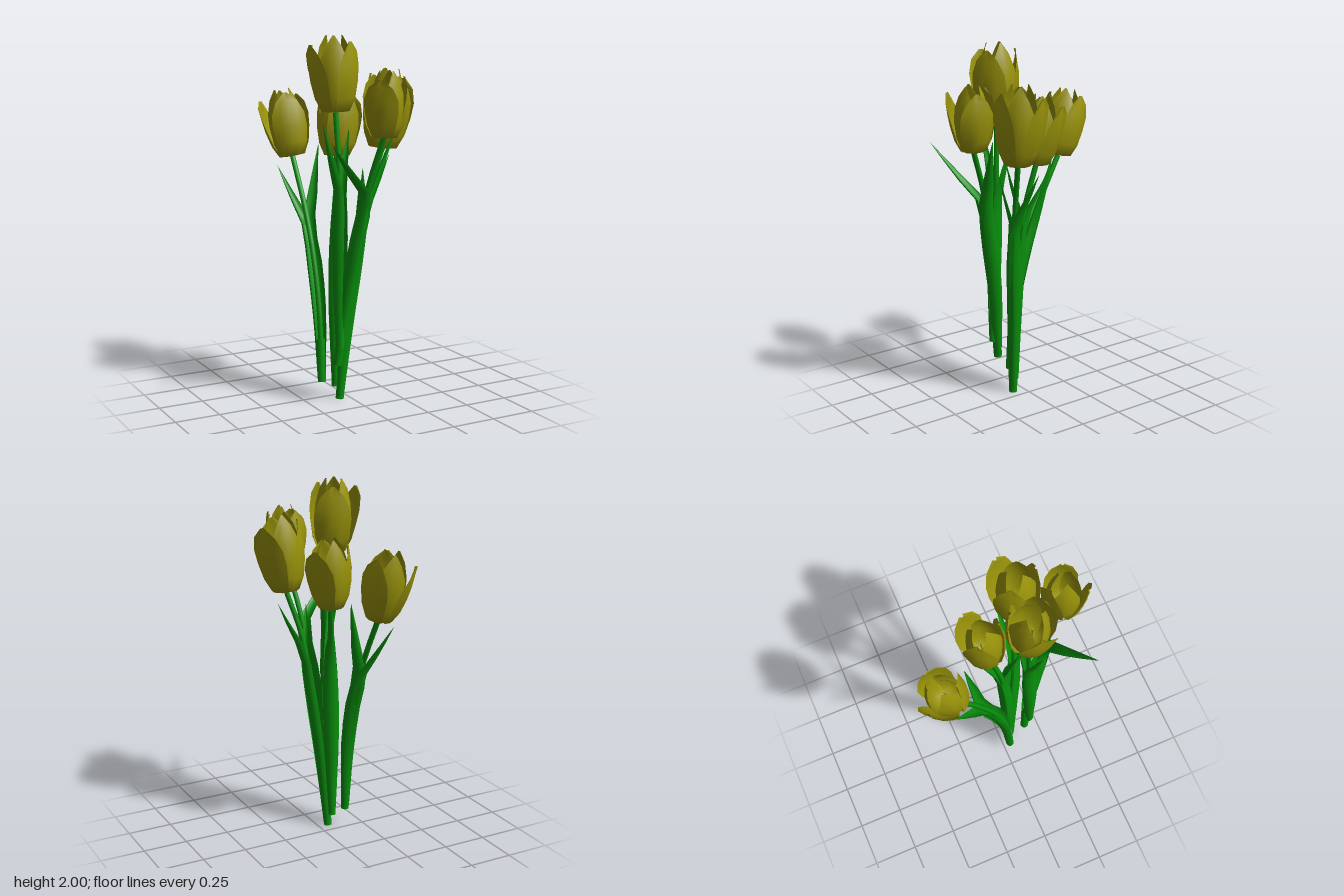
import * as THREE from 'three';

const V = (a) => new THREE.Vector3(...a);
const UP = new THREE.Vector3(0, 1, 0);
const petalMat = new THREE.MeshStandardMaterial({ color: 0x9a940a, side: THREE.DoubleSide });
const greenMat = new THREE.MeshStandardMaterial({ color: 0x08900c, side: THREE.DoubleSide });

// Surface through a grid of points: point(row, u) with u from -1 to 1
function sheet(rows, cols, point) {
  const pos = [], idx = [];
  for (let i = 0; i <= rows; i++) {
    for (let j = 0; j <= cols; j++) {
      pos.push(...point(i, (j / cols) * 2 - 1).toArray());
      if (i < rows && j < cols) {
        const a = i * (cols + 1) + j, b = a + cols + 1;
        idx.push(a, b, a + 1, a + 1, b, b + 1);
      }
    }
  }
  const g = new THREE.BufferGeometry();
  g.setAttribute('position', new THREE.Float32BufferAttribute(pos, 3));
  g.setIndex(idx);
  g.computeVertexNormals();
  return g;
}

function add(parent, name, geometry, material) {
  const m = new THREE.Mesh(geometry, material);
  m.name = name;
  parent.add(m);
  return m;
}

// Petal rows: radius, height (0..1), half angle
const PETAL = [
  [0.012, 0, 1.05], [0.07, 0.015, 1.0], [0.098, 0.2, 0.95], [0.11, 0.45, 0.92],
  [0.109, 0.66, 0.82], [0.094, 0.86, 0.55], [0.076, 1, 0.1],
];

function petal(height, size, flare, angle) {
  return sheet(PETAL.length - 1, 4, (i, u) => {
    const [r, h, half] = PETAL[i];
    const open = size * r + flare * h * h;
    // edges stand slightly off the round body
    const rad = open * (1 + 0.12 * u * u * h);
    const a = angle + u * half * (1 - flare * 2.2);
    return new THREE.Vector3(Math.cos(a) * rad, h * height, Math.sin(a) * rad);
  });
}

function flowerHead({ base, axis, height, spin, size }) {
  const head = new THREE.Group();
  head.name = 'flowerHead';
  head.position.copy(V(base));
  head.quaternion.setFromUnitVectors(UP, V(axis).normalize());
  const start = THREE.MathUtils.degToRad(spin);
  const flares = [0.045, 0.015, 0.01];
  for (let i = 0; i < 3; i++) {
    const a = start + (i * Math.PI * 2) / 3;
    add(head, 'outerPetal', petal(height * (0.93 - flares[i]), 1.05 * size, flares[i], a), petalMat);
    add(head, 'innerPetal', petal(height, 0.95 * size, -0.03, a + Math.PI / 3), petalMat);
    // stamens inside the cup
    const s = add(head, 'stamen', new THREE.CylinderGeometry(0.005, 0.003, 0.13, 5), petalMat);
    s.position.set(Math.cos(a) * 0.025, 0.075, Math.sin(a) * 0.025);
  }
  const p = add(head, 'pistil', new THREE.CylinderGeometry(0.009, 0.013, 0.13, 6), petalMat);
  p.position.y = 0.07;
  return head;
}

// Leaf rows: half width, depth of the curl
const LEAF = [
  [0.022, 0.024], [0.028, 0.028], [0.034, 0.032], [0.04, 0.036], [0.044, 0.038],
  [0.046, 0.038], [0.044, 0.038], [0.038, 0.036], [0.029, 0.03], [0.016, 0.017], [0.001, 0],
];

// Leaf wraps the stem below, then leans away to its tip
function leaf(stem, tip) {
  const end = V(tip);
  const fork = stem.getPoint(0.66);
  const out = end.clone().sub(fork).setY(0).normalize();
  const side = new THREE.Vector3().crossVectors(UP, out);
  const path = new THREE.CatmullRomCurve3([
    stem.getPoint(0.01), stem.getPoint(0.25), stem.getPoint(0.48),
    fork, fork.clone().lerp(end, 0.45), end,
  ]);
  const n = LEAF.length - 1;
  return sheet(n, 6, (i, u) => {
    const [w, d] = LEAF[i];
    return path.getPointAt(i / n)
      .addScaledVector(side, w * Math.sin(u * 1.4))
      .addScaledVector(out, d * Math.cos(u * 1.4));
  });
}

function tulip(spec) {
  const g = new THREE.Group();
  g.name = 'tulip';
  const curve = new THREE.CatmullRomCurve3([...spec.stem, spec.base].map(V));
  add(g, 'stem', new THREE.TubeGeometry(curve, 20, 0.015, 8), greenMat);
  // thick foot of the stem
  const dir = curve.getTangent(0.03);
  const foot = add(g, 'stemFoot', new THREE.CylinderGeometry(0.024, 0.023, 0.24, 10), greenMat);
  foot.position.copy(V(spec.stem[0])).addScaledVector(dir, 0.12);
  foot.quaternion.setFromUnitVectors(UP, dir);
  for (const tip of spec.leaves) add(g, 'leaf', leaf(curve, tip), greenMat);
  g.add(flowerHead(spec));
  return g;
}

const TULIPS = [
  { // rear
    stem: [[-0.15, 0.1, 0.03], [-0.15, 0.5, 0], [-0.15, 0.8, -0.07], [-0.15, 1.05, -0.17]],
    base: [-0.155, 1.32, -0.31], axis: [-0.03, 0.37, -0.085], height: 0.38, spin: 225, size: 1,
    leaves: [[-0.24, 1.27, -0.33], [-0.05, 1.39, -0.2]],
  },
  { // middle rear
    stem: [[-0.075, 0.07, 0.05], [-0.065, 0.6, 0.04], [-0.04, 1.05, 0.01]],
    base: [-0.01, 1.34, -0.055], axis: [0.02, 0.38, -0.025], height: 0.38, spin: -25, size: 0.95,
    leaves: [[0.02, 1.3, -0.12], [-0.08, 1.36, 0.1]],
  },
  { // tallest
    stem: [[-0.11, 0.32, 0.17], [-0.11, 0.75, 0.16], [-0.1, 1.2, 0.15]],
    base: [-0.115, 1.6, 0.13], axis: [-0.01, 0.38, 0], height: 0.4, spin: 180, size: 1.02,
    leaves: [[-0.21, 1.54, 0.17], [-0.02, 1.5, 0.1]],
  },
  { // left
    stem: [[-0.06, 0, 0.07], [-0.02, 0.5, 0.09], [0.02, 0.85, 0.12], [0.07, 1.15, 0.14]],
    base: [0.145, 1.4, 0.175], axis: [0.035, 0.4, 0.01], height: 0.425, spin: -25, size: 1.04,
    leaves: [[0.23, 1.35, 0.1], [0.01, 1.3, 0.2]],
  },
  { // front
    stem: [[-0.11, 0.22, 0.14], [-0.07, 0.6, 0.18], [-0.03, 1, 0.25], [0, 1.25, 0.3]],
    base: [0.035, 1.48, 0.38], axis: [0.01, 0.34, 0.015], height: 0.345, spin: 135, size: 0.92,
    leaves: [[-0.3, 1.47, 0.44], [0.14, 1.54, 0.33]],
  },
];

export function createModel() {
  const model = new THREE.Group();
  model.name = 'tulipBouquet';
  for (const spec of TULIPS) model.add(tulip(spec));
  return model;
}
